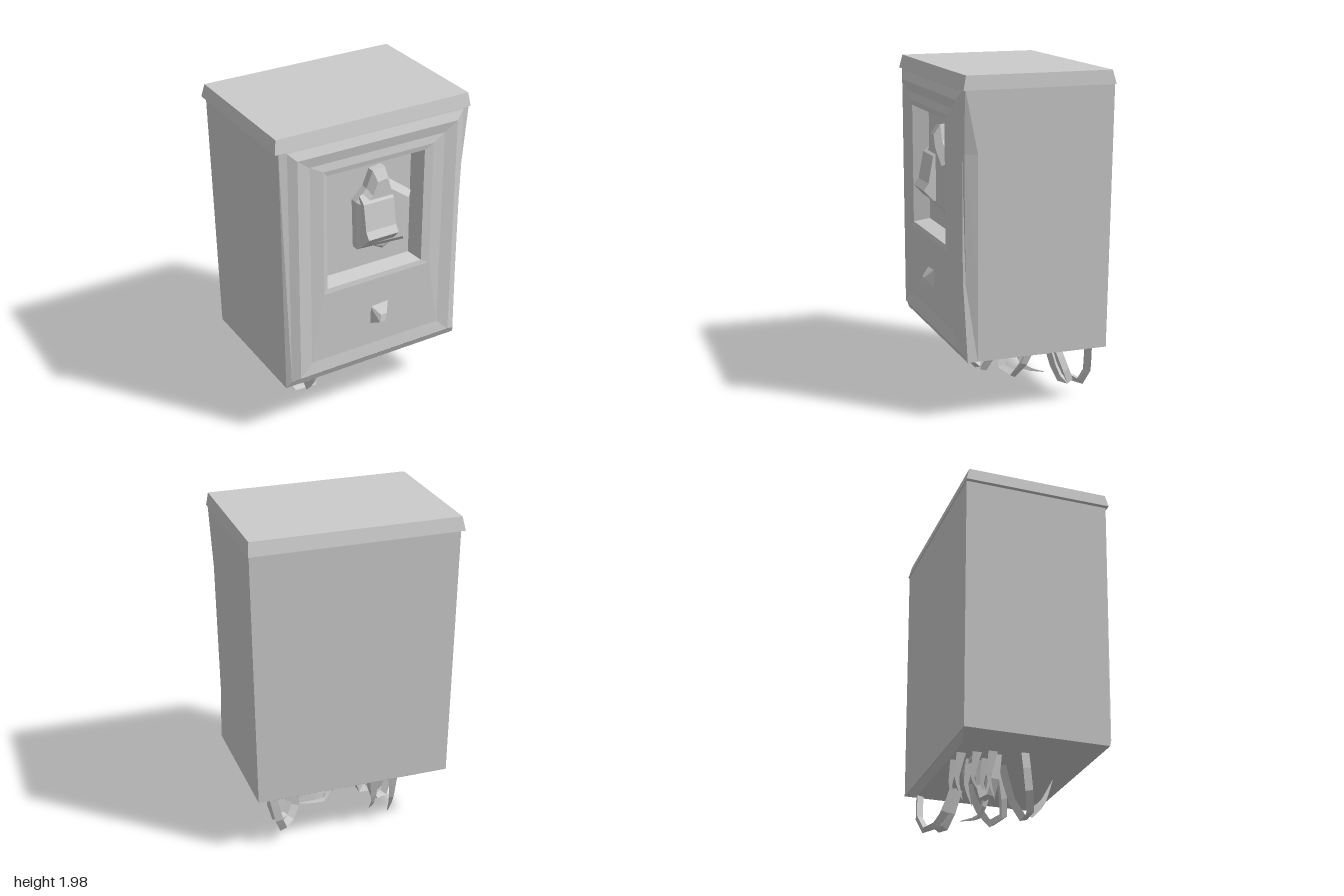
import * as THREE from 'three';

const material = new THREE.MeshStandardMaterial({ color: 0xcccccc, flatShading: true, side: THREE.DoubleSide });

// Joins rings of [x, y, z] points (counter-clockwise seen from the end) and caps both ends.
function loft(name, rings) {
  const pos = [];
  const tri = (a, b, c) => pos.push(...a, ...b, ...c);
  const n = rings[0].length;
  const centre = ring => [0, 1, 2].map(k => ring.reduce((s, p) => s + p[k], 0) / n);
  const first = rings[0], last = rings[rings.length - 1];
  const c0 = centre(first), c1 = centre(last);
  for (let j = 0; j < n; j++) {
    const k = (j + 1) % n;
    for (let i = 0; i < rings.length - 1; i++) {
      const a = rings[i], b = rings[i + 1];
      tri(a[j], a[k], b[k]);
      tri(a[j], b[k], b[j]);
    }
    tri(c0, first[k], first[j]);
    tri(c1, last[j], last[k]);
  }
  const geo = new THREE.BufferGeometry();
  geo.setAttribute('position', new THREE.Float32BufferAttribute(pos, 3));
  geo.computeVertexNormals();
  const mesh = new THREE.Mesh(geo, material);
  mesh.name = name;
  return mesh;
}

// Upright ring: taper narrows the bottom, dent pulls in the middle of the +x edge.
function frontRing(x0, x1, y0, y1, z, { taper = 0, dent = 0, lean = 0 } = {}) {
  const h = y1 - y0;
  const right = t => [x1 - taper * (1 - t), y0 + h * t, z + lean * (1 - t)];
  const r1 = right(0.29), r2 = right(0.76);
  r1[0] -= dent;
  r2[0] -= dent;
  return [[x0 + taper, y0, z + lean], right(0), r1, r2, right(1), [x0, y1, z]];
}

// Level ring, for parts that are built upwards
const levelRing = (x0, x1, z0, z1, y) => [[x0, y, z0], [x0, y, z1], [x1, y, z1], [x1, y, z0]];

// Bent strand with few sides, pinched at its loose end if asked
function strand(name, points, radius, pinch) {
  const curve = new THREE.CatmullRomCurve3(points.map(p => new THREE.Vector3(...p)), false, 'catmullrom', 0.3);
  const steps = 7, sides = 3;
  const geo = new THREE.TubeGeometry(curve, steps, radius, sides, false);
  if (pinch) {
    const pos = geo.attributes.position, v = new THREE.Vector3();
    for (let i = 0; i < pos.count; i++) {
      const t = Math.floor(i / (sides + 1)) / steps;
      const c = curve.getPointAt(t);
      v.fromBufferAttribute(pos, i).lerp(c, t * 0.95);
      pos.setXYZ(i, v.x, v.y, v.z);
    }
    geo.computeVertexNormals();
  }
  const mesh = new THREE.Mesh(geo, material);
  mesh.name = name;
  return mesh;
}

export function createModel() {
  const model = new THREE.Group();
  model.name = 'meterBox';

  // Housing, raised front panel and window recess in one shell
  model.add(loft('housing', [
    frontRing(-0.61, 0.622, 0.375, 1.94, -0.48, { taper: 0.022, lean: 0.015 }),
    frontRing(-0.61, 0.622, 0.375, 1.94, 0.33, { taper: 0.022 }),
    frontRing(-0.61, 0.622, 0.375, 1.94, 0.405, { taper: 0.022, dent: 0.025, lean: -0.015 }),
    frontRing(-0.56, 0.58, 0.42, 1.91, 0.41),
    frontRing(-0.51, 0.53, 0.44, 1.86, 0.432),
    frontRing(-0.43, 0.45, 0.52, 1.80, 0.422),
    frontRing(-0.35, 0.37, 0.97, 1.755, 0.43),
    frontRing(-0.325, 0.315, 1.0, 1.725, 0.425),
    frontRing(-0.295, 0.285, 1.02, 1.715, 0.33),
  ]));

  // Lid with sloping edges
  model.add(loft('lid', [
    levelRing(-0.635, 0.627, -0.487, 0.415, 1.92),
    levelRing(-0.62, 0.617, -0.467, 0.398, 2.0),
  ]));

  // Shallow swelling of the underside
  model.add(loft('underside', [
    levelRing(-0.42, 0.5, -0.42, 0.0, 0.345),
    levelRing(-0.585, 0.598, -0.462, 0.388, 0.378),
  ]));

  // Meter inside the window
  const outline = [[-0.1, 1.17], [0.22, 1.15], [0.26, 1.46], [0.11, 1.57],
    [0.08, 1.66], [0.0, 1.65], [-0.04, 1.55], [-0.11, 1.48]];
  const meterRing = (s, z) => outline.map(([x, y]) => [0.06 + (x - 0.06) * s, 1.37 + (y - 1.37) * s, z]);
  model.add(loft('meter', [meterRing(1, 0.32), meterRing(1, 0.375), meterRing(0.8, 0.415)]));

  // Projecting dial cover with a ledge
  const profile = [[1.2, 0.38], [1.22, 0.435], [1.28, 0.49], [1.32, 0.46], [1.48, 0.43], [1.52, 0.38]];
  const coverRing = x => profile.map(([y, z]) => [x, y, z]).reverse();
  model.add(loft('dialCover', [coverRing(-0.09), coverRing(0.11)]));

  // Pointed lip below the meter
  model.add(loft('meterLip', [
    [[-0.05, 1.18, 0.33], [0.1, 1.1, 0.33], [0.2, 1.17, 0.33]],
    [[-0.03, 1.18, 0.37], [0.09, 1.13, 0.36], [0.16, 1.17, 0.37]],
  ]));

  // Small handle on the lower panel
  model.add(loft('handle', [
    [[-0.04, 0.66, 0.41], [0.09, 0.66, 0.41], [0.1, 0.81, 0.41], [-0.04, 0.8, 0.41]],
    [[0.0, 0.695, 0.482], [0.04, 0.695, 0.482], [0.05, 0.74, 0.475], [0.01, 0.74, 0.475]],
  ]));

  // Cable loops hanging below
  const loops = [
    [[-0.39, 0.38, -0.05], [-0.4, 0.16, -0.03], [-0.31, 0.025, 0.01], [-0.21, 0.025, 0.02], [-0.16, 0.16, -0.04], [-0.17, 0.38, -0.1]],
    [[-0.32, 0.38, -0.18], [-0.31, 0.16, -0.2], [-0.24, 0.09, -0.22], [-0.19, 0.2, -0.24], [-0.2, 0.38, -0.25]],
    [[-0.15, 0.38, -0.12], [-0.04, 0.17, -0.05], [0.03, 0.1, -0.03], [0.14, 0.1, -0.08], [0.18, 0.28, -0.16], [0.2, 0.38, -0.18]],
    [[0.29, 0.38, -0.24], [0.33, 0.17, -0.3], [0.42, 0.11, -0.37], [0.46, 0.19, -0.41], [0.5, 0.38, -0.4]],
    [[0.32, 0.38, -0.2], [0.36, 0.15, -0.26], [0.44, 0.12, -0.3], [0.47, 0.24, -0.25], [0.45, 0.38, -0.2]],
    [[-0.28, 0.36, -0.3], [-0.1, 0.31, -0.3], [0.06, 0.3, -0.24], [0.2, 0.36, -0.2]],
  ];
  loops.forEach(points => model.add(strand('cableLoop', points, 0.027, false)));

  // Loose pointed cable ends
  for (let i = 0; i < 6; i++) {
    const x = -0.36 + i * 0.04, z = -0.22 - (i % 3) * 0.08;
    model.add(strand('cableEnd', [[x, 0.38, z], [x + 0.02, 0.2, z - 0.02], [x + 0.03, 0.08 + (i % 2) * 0.05, z + 0.02]], 0.035, true));
  }
  model.add(strand('cableEnd', [[0.02, 0.38, -0.1], [0.08, 0.12, -0.15], [0.3, 0.15, -0.2]], 0.035, true));
  model.add(strand('cableEnd', [[-0.25, 0.04, 0.03], [-0.25, 0.12, 0.11], [-0.24, 0.27, 0.18]], 0.03, true));

  return model;
}
